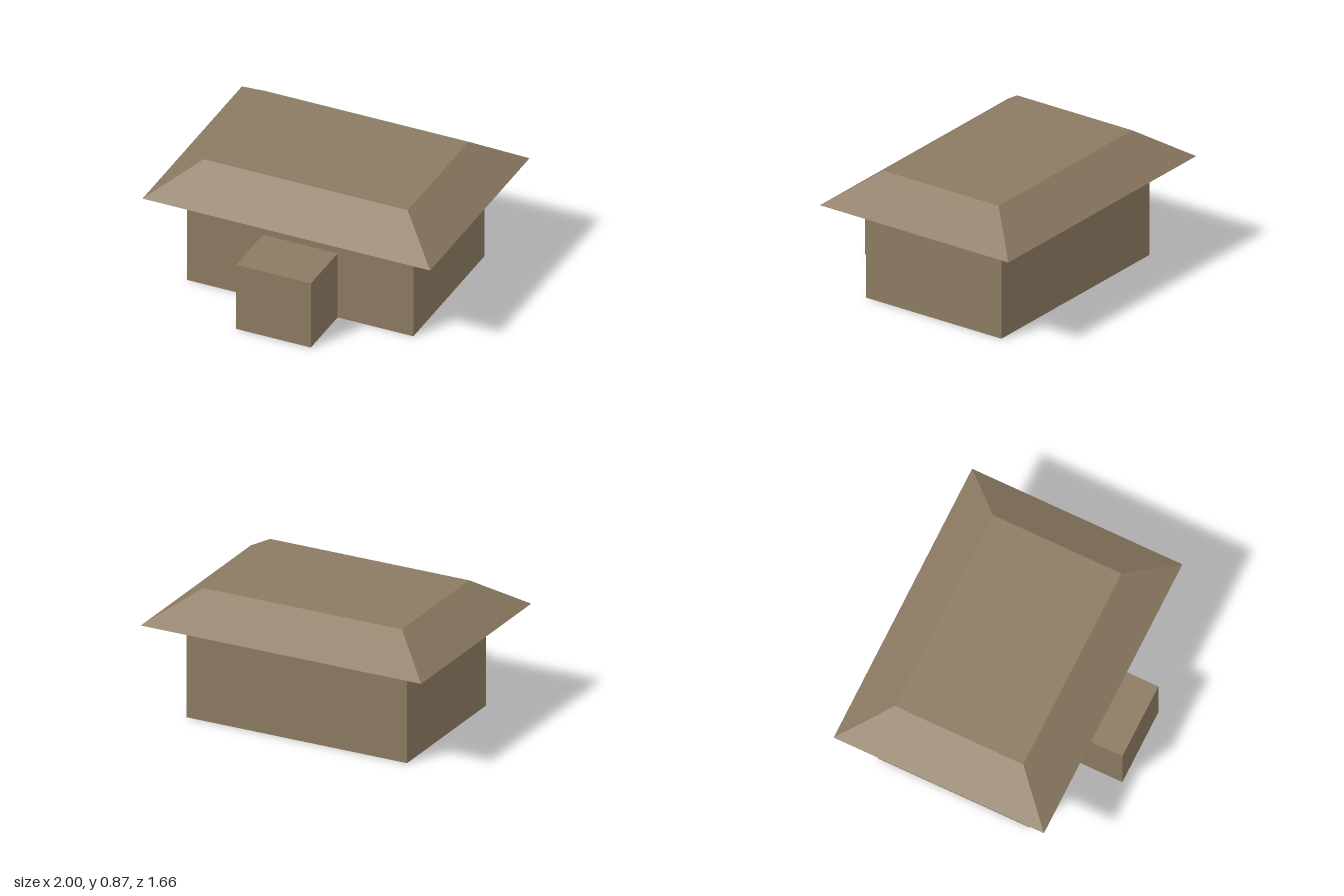
import * as THREE from 'three';

export function createModel() {
  const group = new THREE.Group();
  const brown = new THREE.MeshStandardMaterial({ color: 0x8c7a62, side: THREE.DoubleSide });
  brown.name = 'weathered brown';

  // Box given by its x half-width, height and z range, standing on the ground
  function block(name, halfWidth, height, zBack, zFront) {
    const mesh = new THREE.Mesh(new THREE.BoxGeometry(halfWidth * 2, height, zFront - zBack), brown);
    mesh.position.set(0, height / 2, (zBack + zFront) / 2);
    mesh.name = name;
    group.add(mesh);
  }
  block('walls', 0.787, 0.662, -0.62, 0.435);
  block('porch', 0.26, 0.475, 0.435, 0.83);

  // Hipped roof: an open shell from the eaves ring up to a flat top
  const ring = (x, y, zBack, zFront) =>
    [[-x, y, zFront], [x, y, zFront], [x, y, zBack], [-x, y, zBack]];
  const eaves = ring(1, 0.662, -0.83, 0.64);
  const top = ring(0.71, 0.87, -0.543, 0.355);
  const points = [];
  const quad = (a, b, c, d) => points.push(...a, ...b, ...c, ...a, ...c, ...d);
  for (let i = 0; i < 4; i++) {
    const j = (i + 1) % 4;
    quad(eaves[i], eaves[j], top[j], top[i]);
  }
  quad(...top);
  const roofGeometry = new THREE.BufferGeometry();
  roofGeometry.setAttribute('position', new THREE.Float32BufferAttribute(points, 3));
  roofGeometry.computeVertexNormals();
  const roof = new THREE.Mesh(roofGeometry, brown);
  roof.name = 'roof';
  group.add(roof);

  return group;
}
